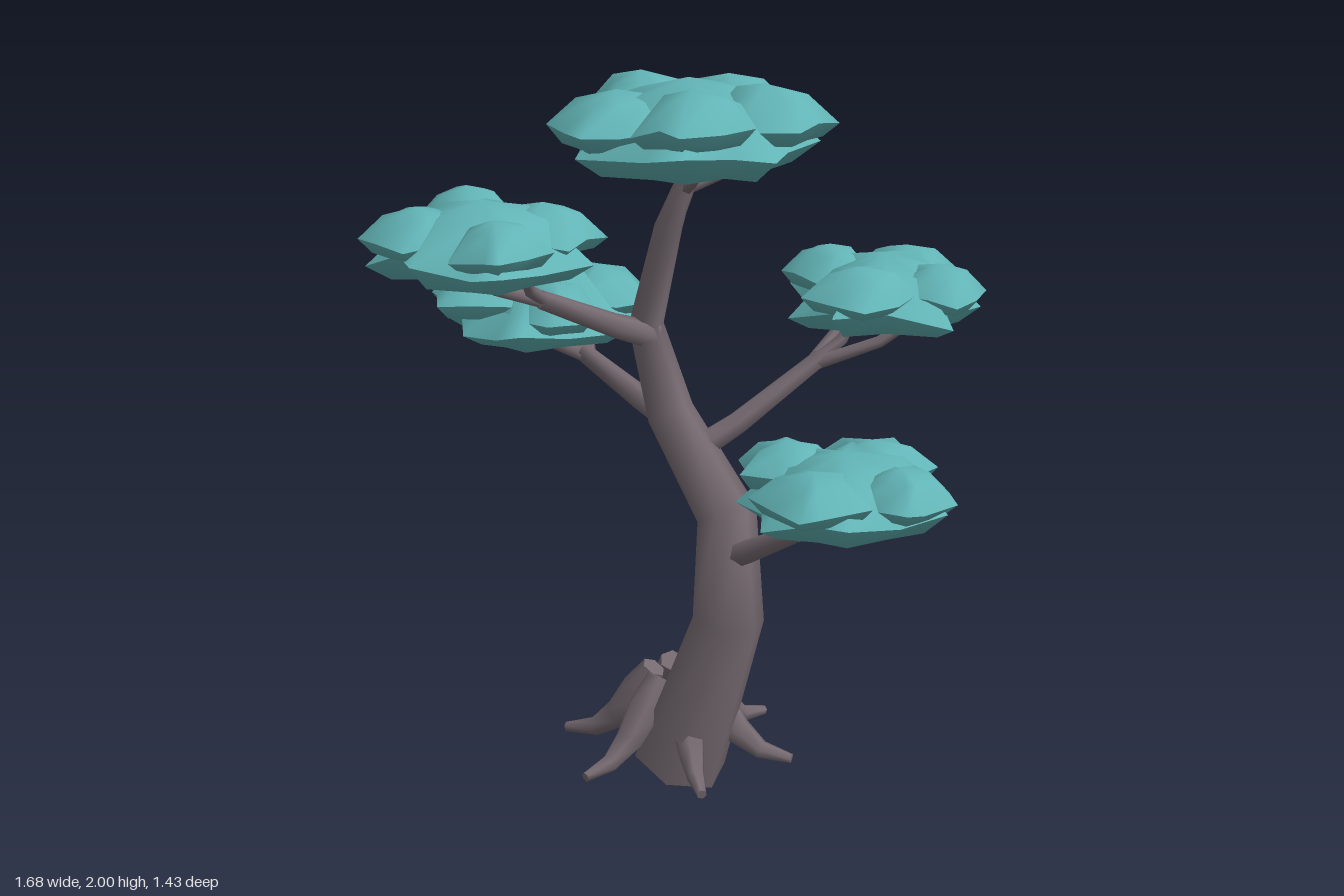
import * as THREE from 'three';

const bark = new THREE.MeshStandardMaterial({ color: 0x756a70 });
bark.name = 'bark';
const leaf = new THREE.MeshStandardMaterial({ color: 0x62b4b6 });
leaf.name = 'leaf';

// Small seeded random generator
function seeded(seed) {
  let s = seed * 7919 + 17;
  return () => (s = (s * 16807) % 2147483647) / 2147483647;
}

function buildGeometry(positions, indices) {
  const g = new THREE.BufferGeometry();
  g.setAttribute('position', new THREE.Float32BufferAttribute(positions, 3));
  g.setIndex(indices);
  g.computeVertexNormals();
  return g;
}

function addGroup(parent, name) {
  const group = new THREE.Group();
  group.name = name;
  parent.add(group);
  return group;
}

function addMesh(parent, name, geometry, material) {
  const mesh = new THREE.Mesh(geometry, material);
  mesh.name = name;
  parent.add(mesh);
  return mesh;
}

// Tapered limb lofted along points [x, y, z, radius], with closed ends
function limbGeometry(points, sides = 6) {
  const pos = [], idx = [];
  const p = points.map(q => new THREE.Vector3(q[0], q[1], q[2]));
  const u = new THREE.Vector3(0.31, 0.1, 0.95), t = new THREE.Vector3(), v = new THREE.Vector3();
  const last = p.length - 1;
  p.forEach((c, i) => {
    t.subVectors(p[Math.min(i + 1, last)], p[Math.max(i - 1, 0)]).normalize();
    u.addScaledVector(t, -u.dot(t)).normalize();
    v.crossVectors(t, u);
    for (let k = 0; k < sides; k++) {
      const a = k / sides * Math.PI * 2;
      const w = c.clone().addScaledVector(u, Math.cos(a) * points[i][3]).addScaledVector(v, Math.sin(a) * points[i][3]);
      pos.push(w.x, w.y, w.z);
    }
  });
  for (let i = 0; i < last; i++) for (let k = 0; k < sides; k++) {
    const a = i * sides + k, b = i * sides + (k + 1) % sides;
    idx.push(a, b, b + sides, a, b + sides, a + sides);
  }
  // End caps use their own vertices so their rims stay sharp
  for (const [ring, flip] of [[0, true], [last, false]]) {
    const start = pos.length / 3;
    for (let k = 0; k < sides * 3; k++) pos.push(pos[ring * sides * 3 + k]);
    for (let k = 1; k < sides - 1; k++) {
      if (flip) idx.push(start, start + k + 1, start + k);
      else idx.push(start, start + k, start + k + 1);
    }
  }
  return buildGeometry(pos, idx);
}

// Domed leaf pad: spiky rim, smooth crown, shallow tucked-in underside
function padGeometry(radius, height, depth, spikes, seed) {
  const rnd = seeded(seed), n = spikes * 2, pos = [0, height, 0], idx = [];
  const turn = rnd() * 6.28;
  const rim = [];
  for (let k = 0; k < n; k++) {
    const a = turn + (k + (rnd() - 0.5) * 0.7) / n * Math.PI * 2;
    const r = radius * (k % 2 ? 0.76 + rnd() * 0.1 : 0.94 + rnd() * 0.14);
    rim.push([Math.cos(a) * r, (rnd() - 0.5) * 0.16 * radius, Math.sin(a) * r]);
  }
  const ring = (scale, y, follow) => {
    const start = pos.length / 3;
    rim.forEach(q => pos.push(q[0] * scale, y + q[1] * follow, q[2] * scale));
    return start;
  };
  const strip = (a, b) => {
    for (let k = 0; k < n; k++) {
      const j = (k + 1) % n;
      idx.push(a + k, b + j, b + k, a + k, a + j, b + j);
    }
  };
  const crown = ring(0.58, height * 0.74, 0.5), edge = ring(1, 0, 1);
  for (let k = 0; k < n; k++) idx.push(0, crown + (k + 1) % n, crown + k);
  strip(crown, edge);
  const under = ring(1, 0, 1), belly = ring(0.78, -depth, 0.2);
  strip(under, belly);
  const bottom = pos.length / 3;
  pos.push(0, -depth, 0);
  for (let k = 0; k < n; k++) idx.push(bottom, belly + k, belly + (k + 1) % n);
  return buildGeometry(pos, idx);
}

// Branch: a limb from the trunk to a fork, then sagging twigs to each tip
function addBranch(parent, name, start, fork, tips, thick = 0.04) {
  const group = addGroup(parent, name);
  const between = (a, b, f, sag) => [0, 1, 2].map(i => a[i] + (b[i] - a[i]) * (i === 1 ? f - sag : f));
  addMesh(group, 'limb', limbGeometry([
    [...start, thick], [...between(start, fork, 0.35, 0.05), thick * 0.85], [...fork, thick * 0.65],
  ]), bark);
  for (const tip of tips) {
    addMesh(group, 'twig', limbGeometry([
      [...between(start, fork, 0.92, 0), thick * 0.5], [...between(fork, tip, 0.5, 0.2), thick * 0.43], [...tip, 0.011],
    ], 5), bark);
  }
}

// Foliage: one wide pad with a ring of large overlapping lumps on its shoulders
function addFoliage(parent, name, x, z, low, high, radius, lumps, turn, seed) {
  const group = addGroup(parent, name);
  const h = high - low, depth = h * 0.25;
  group.position.set(x, low + depth, z);
  addMesh(group, 'mainPad', padGeometry(radius, h * 0.73, depth, 7, seed), leaf);
  for (let k = 0; k < lumps; k++) {
    const a = turn + k / lumps * Math.PI * 2;
    const size = radius * (0.5 + 0.06 * (k % 2));
    const lump = addMesh(group, 'lump', padGeometry(size, h * 0.42, h * 0.18, 5, seed * 11 + k), leaf);
    lump.position.set(Math.cos(a) * radius * 0.58, h * (0.23 + 0.05 * (k % 3)), Math.sin(a) * radius * 0.58);
  }
}

export function createModel() {
  const tree = new THREE.Group();
  tree.name = 'tree';

  // Winding trunk
  addMesh(tree, 'trunk', limbGeometry([
    [-0.005, 0.045, 0.035, 0.136], [0.165, 0.52, 0.06, 0.103], [0.125, 0.8, 0.0, 0.085],
    [-0.075, 1.05, -0.035, 0.067], [-0.14, 1.3, -0.015, 0.049], [-0.05, 1.59, 0.015, 0.039], [0.01, 1.76, 0, 0.022],
  ]), bark);

  // Ring of six spreading roots
  const roots = addGroup(tree, 'roots');
  const rootShape = [[0.07, 0.3, 0, 0.036], [0.12, 0.22, 0, 0.052], [0.18, 0.14, 0, 0.042], [0.25, 0.09, 0, 0.027], [0.34, 0.075, 0, 0.014]];
  for (let i = 0; i < 6; i++) {
    const root = addMesh(roots, 'root', limbGeometry(rootShape), bark);
    root.position.x = -0.035;
    root.rotation.y = 0.21 + i * Math.PI / 3;
  }

  // Branches: start, fork, twig tips
  addBranch(tree, 'leftBranch', [0.14, 0.69, 0.04], [0.4, 0.83, 0.1],
    [[0.56, 0.95, 0.12], [0.48, 0.95, 0.32], [0.56, 0.95, -0.12]]);
  addBranch(tree, 'backLeftBranch', [0, 0.95, -0.03], [0.25, 1.19, -0.3],
    [[0.33, 1.34, -0.4], [0.54, 1.35, -0.45], [0.25, 1.4, -0.56]]);
  addBranch(tree, 'rightBranch', [-0.06, 1.03, -0.03], [-0.42, 1.15, -0.13],
    [[-0.66, 1.25, -0.08], [-0.74, 1.34, -0.2], [-0.52, 1.26, -0.33]]);
  addBranch(tree, 'frontRightBranch', [-0.12, 1.27, -0.02], [-0.28, 1.42, 0.29],
    [[-0.27, 1.54, 0.4], [-0.55, 1.63, 0.37], [-0.42, 1.56, 0.5]]);
  addBranch(tree, 'topBranch', [-0.04, 1.62, 0.01], [0, 1.7, 0],
    [[0.02, 1.84, 0], [0.12, 1.8, 0.14], [0.13, 1.8, -0.19]], 0.034);

  // Leaf clusters: x, z, underside, top, radius, lump count, lump turn, seed
  addFoliage(tree, 'topFoliage', 0.01, 0.01, 1.765, 2.0, 0.345, 5, -1.53, 3);
  addFoliage(tree, 'frontRightFoliage', -0.38, 0.41, 1.505, 1.705, 0.285, 4, 0.75, 4);
  addFoliage(tree, 'rightFoliage', -0.555, -0.13, 1.195, 1.4, 0.29, 4, 0.75, 5);
  addFoliage(tree, 'backLeftFoliage', 0.37, -0.44, 1.285, 1.48, 0.28, 4, -0.05, 6);
  addFoliage(tree, 'leftFoliage', 0.54, 0.12, 0.895, 1.09, 0.29, 4, 0, 7);
  return tree;
}
